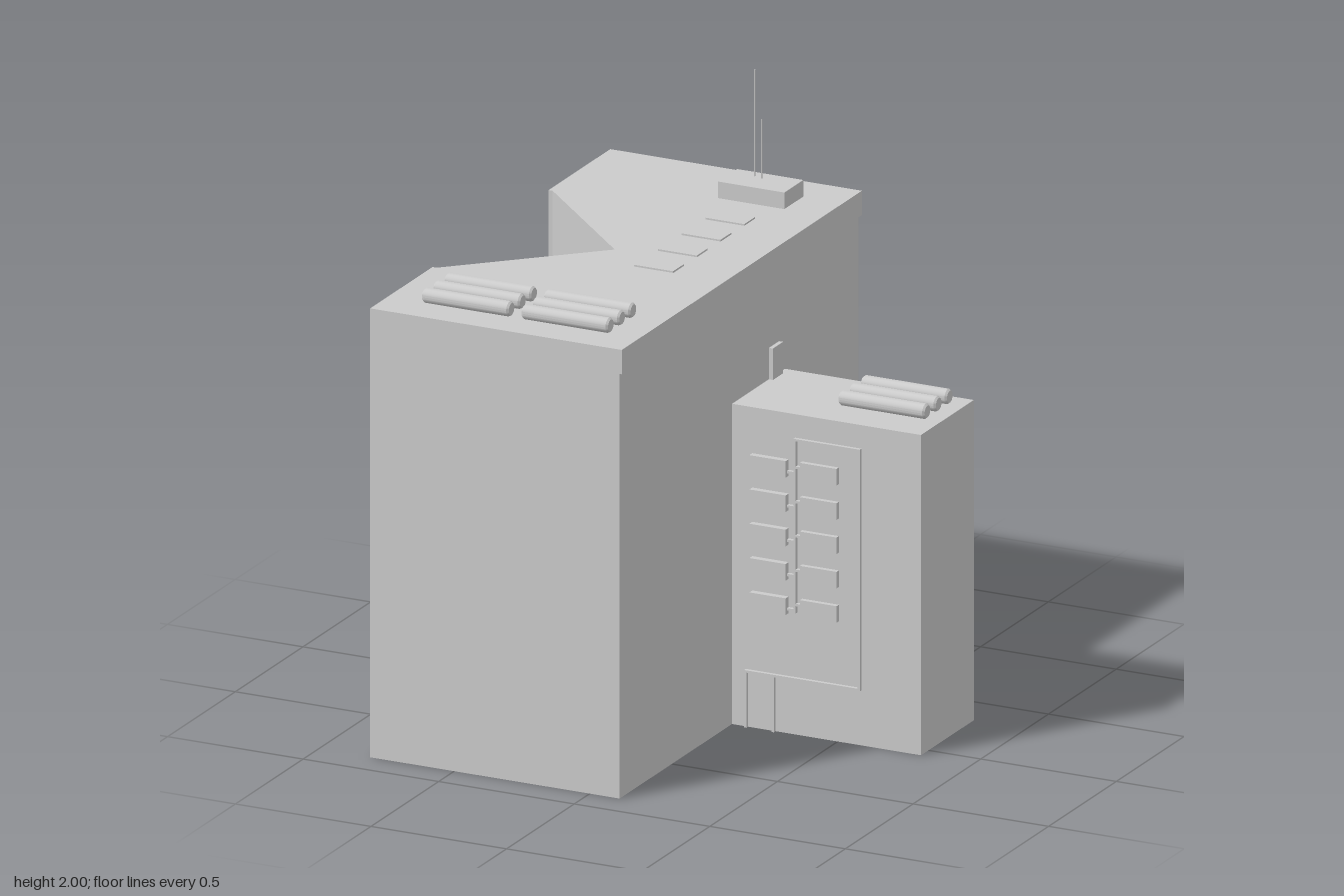
import * as THREE from 'three';
import { toCreasedNormals } from 'three/addons/utils/BufferGeometryUtils.js';

export function createModel() {
  const model = new THREE.Group();
  const material = new THREE.MeshStandardMaterial({ color: 0xcccccc });

  function add(name, geometry, parent = model) {
    const mesh = new THREE.Mesh(geometry, material);
    mesh.name = name;
    parent.add(mesh);
    return mesh;
  }

  // Box given by its limits on each axis
  function box(name, x0, x1, y0, y1, z0, z1, parent) {
    const g = new THREE.BoxGeometry(x1 - x0, y1 - y0, z1 - z0);
    g.translate((x0 + x1) / 2, (y0 + y1) / 2, (z0 + z1) / 2);
    return add(name, g, parent);
  }

  function group(name) {
    const g = new THREE.Group();
    g.name = name;
    model.add(g);
    return g;
  }

  // Main block: notched footprint extruded upwards
  function notchedSlab(name, xMax, zBack, y0, y1) {
    const outline = [
      [-0.81, 0.885], [xMax, 0.885], [xMax, zBack], [-0.81, zBack],
      [-0.81, -0.432], [-0.795, -0.432], [-0.35, 0], [-0.795, 0.425], [-0.81, 0.425],
    ];
    const shape = new THREE.Shape(outline.map(([x, z]) => new THREE.Vector2(x, -z)));
    const g = new THREE.ExtrudeGeometry(shape, { depth: y1 - y0, bevelEnabled: false });
    g.rotateX(-Math.PI / 2);
    g.translate(0, y0, 0);
    add(name, g);
  }
  notchedSlab('mainBlock', 0.11, -0.88, 0, 1.485);
  notchedSlab('roofBand', 0.118, -0.888, 1.485, 1.57);

  // Lower side wing
  box('sideWing', 0.11, 0.807, 0, 1.12, -0.335, 0.055);
  box('wingRoofDoor', 0.1, 0.125, 1.12, 1.23, -0.292, -0.217);

  // Rounded tanks lying along x on the roofs
  const tanks = group('roofTanks');
  const r = 0.026;
  function tank(x0, x1, y, z) {
    const h = (x1 - x0) / 2;
    const profile = [
      [0, -h], [r * 0.8, -h], [r, -h + 0.007], [r, h - 0.007], [r * 0.8, h], [0, h],
    ].map(([px, py]) => new THREE.Vector2(px, py));
    const g = toCreasedNormals(new THREE.LatheGeometry(profile, 24), 0.5);
    g.rotateZ(-Math.PI / 2);
    g.translate((x0 + x1) / 2, y, z);
    add('tank', g, tanks);
  }
  for (const z of [0.575, 0.658, 0.742]) {
    tank(-0.68, -0.36, 1.593, z);
    tank(-0.313, 0.006, 1.593, z);
  }
  for (const z of [-0.26, -0.178, -0.095]) tank(0.438, 0.756, 1.147, z);

  // Flat roof hatches
  const hatches = group('roofHatches');
  for (let i = 0; i < 4; i++) {
    const z = 0.083 - i * 0.175;
    box('hatch', -0.217, -0.073, 1.565, 1.576, z - 0.04, z + 0.04, hatches);
  }

  // Plant box with two antennas
  box('plantBox', -0.273, -0.029, 1.565, 1.628, -0.75, -0.61);
  for (const [x, z, top] of [[-0.19, -0.713, 2], [-0.16, -0.704, 1.835]]) {
    const g = new THREE.CylinderGeometry(0.0025, 0.0025, top - 1.6, 8);
    g.translate(x, (top + 1.6) / 2, z);
    add('antenna', g);
  }

  // Wall conduits on the wing front
  const conduits = group('wallConduits');
  const t = 0.004, zWall = 0.05, zPipe = 0.068;
  const across = (x0, x1, y) => box('conduit', x0 - t, x1 + t, y - t, y + t, zWall, zPipe, conduits);
  const upright = (x, y0, y1) => box('conduit', x - t, x + t, y0, y1, zWall, zPipe, conduits);
  across(0.347, 0.584, 1.034);
  across(0.165, 0.584, 0.197);
  upright(0.347, 0.428, 1.034);
  upright(0.584, 0.197, 1.034);
  upright(0.165, 0, 0.197);
  upright(0.267, 0, 0.197);

  // Two columns of wall units, each joined to the conduit
  const units = group('wallUnits');
  for (let i = 0; i < 5; i++) {
    const y = 0.93 - i * 0.12;
    box('wallUnit', 0.185, 0.319, y - 0.029, y + 0.029, zWall, 0.077, units);
    box('wallUnit', 0.369, 0.504, y - 0.029, y + 0.029, zWall, 0.072, units);
    across(0.315, 0.347, y - 0.012);
    across(0.347, 0.372, y + 0.008);
  }

  return model;
}
